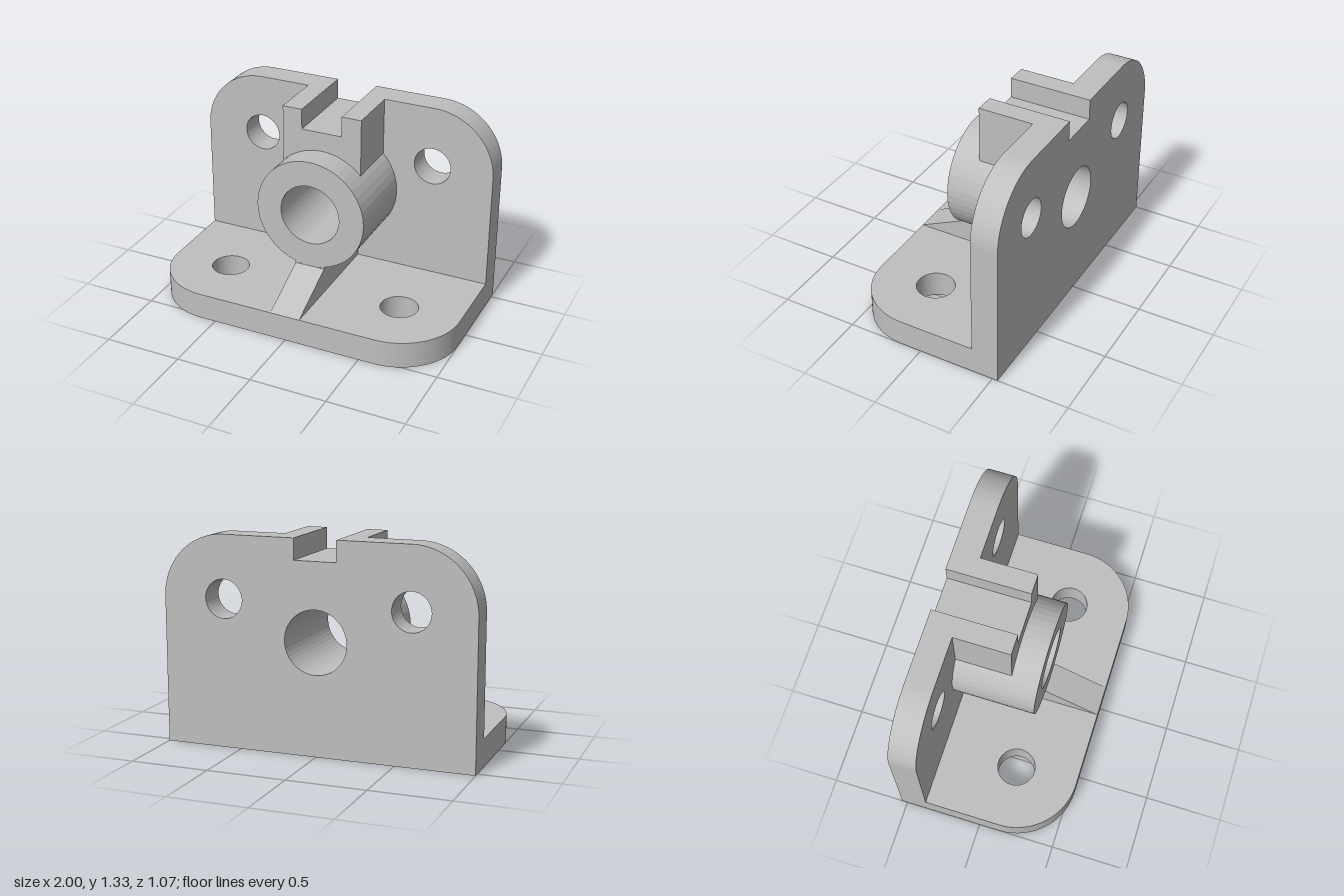
import * as THREE from 'three';

const BACK = -0.535, FRONT = 0.535, THICK = 0.175, TOP = 1.333;
const PLATE_FRONT = BACK + THICK;
const BOSS_Y = 0.71, BOSS_R = 0.365, BORE_R = 0.2, BOSS_FRONT = 0.173;
const SLOT_W = 0.135, SLOT_Y = 1.2;

export function createModel() {
  const group = new THREE.Group();
  const grey = new THREE.MeshStandardMaterial({ color: 0xbfbfbf });
  grey.name = 'light grey';

  const add = (name, geometry) => {
    const mesh = new THREE.Mesh(geometry, grey);
    mesh.name = name;
    group.add(mesh);
  };
  const extrude = (shape, z0, z1) =>
    new THREE.ExtrudeGeometry(shape, { depth: z1 - z0, bevelEnabled: false, curveSegments: 24 }).translate(0, 0, z0);
  const circle = (Kind, x, y, r) => {
    const c = new Kind();
    c.absarc(x, y, r, 0, Math.PI * 2, false);
    return c;
  };
  const cutSlot = (s) => {
    s.lineTo(SLOT_W, TOP);
    s.lineTo(SLOT_W, SLOT_Y);
    s.lineTo(-SLOT_W, SLOT_Y);
    s.lineTo(-SLOT_W, TOP);
  };

  // Plate outline with two rounded far corners and a pair of bolt holes
  const plateShape = (y0, y1, holeY, slotted) => {
    const r = 0.4, s = new THREE.Shape();
    s.moveTo(-1, y0);
    s.lineTo(1, y0);
    s.lineTo(1, y1 - r);
    s.absarc(1 - r, y1 - r, r, 0, Math.PI / 2, false);
    if (slotted) cutSlot(s);
    s.lineTo(r - 1, y1);
    s.absarc(r - 1, y1 - r, r, Math.PI / 2, Math.PI, false);
    s.closePath();
    for (const side of [-1, 1]) s.holes.push(circle(THREE.Path, side * 0.6, holeY, 0.122));
    return s;
  };

  // Base, lying flat
  const base = extrude(plateShape(BACK, FRONT, 0.13, false), 0, THICK);
  add('basePlate', base.rotateX(Math.PI / 2).translate(0, THICK, 0));

  // Upright plate with the bore and the top slot
  const upright = plateShape(THICK, TOP, 0.937, true);
  upright.holes.push(circle(THREE.Path, 0, BOSS_Y, BORE_R));
  add('backPlate', extrude(upright, BACK, PLATE_FRONT));

  // Bearing boss
  const boss = circle(THREE.Shape, 0, BOSS_Y, BOSS_R);
  boss.holes.push(circle(THREE.Path, 0, BOSS_Y, BORE_R));
  add('bearingBoss', extrude(boss, PLATE_FRONT, BOSS_FRONT));

  // Slotted block resting on the boss
  const bw = 0.265, a = Math.acos(bw / BOSS_R);
  const block = new THREE.Shape();
  block.moveTo(bw, TOP);
  cutSlot(block);
  block.lineTo(-bw, TOP);
  block.absarc(0, BOSS_Y, BOSS_R, Math.PI - a, a, true);
  block.closePath();
  add('slottedBlock', extrude(block, PLATE_FRONT, 0));

  // Web under the boss
  const rw = 0.1, b = Math.asin(rw / BOSS_R);
  const web = new THREE.Shape();
  web.moveTo(-rw, THICK);
  web.lineTo(rw, THICK);
  web.absarc(0, BOSS_Y, BOSS_R, -Math.PI / 2 + b, -Math.PI / 2 - b, true);
  web.closePath();
  add('supportWeb', extrude(web, PLATE_FRONT, BOSS_FRONT));

  // Sloping toe of the web: profile in (-z, y), turned to run along x
  const toe = new THREE.Shape();
  toe.moveTo(-FRONT, THICK);
  toe.lineTo(-BOSS_FRONT, THICK);
  toe.lineTo(-BOSS_FRONT, BOSS_Y - BOSS_R);
  toe.closePath();
  add('slopedToe', extrude(toe, -rw, rw).rotateY(Math.PI / 2));

  return group;
}
